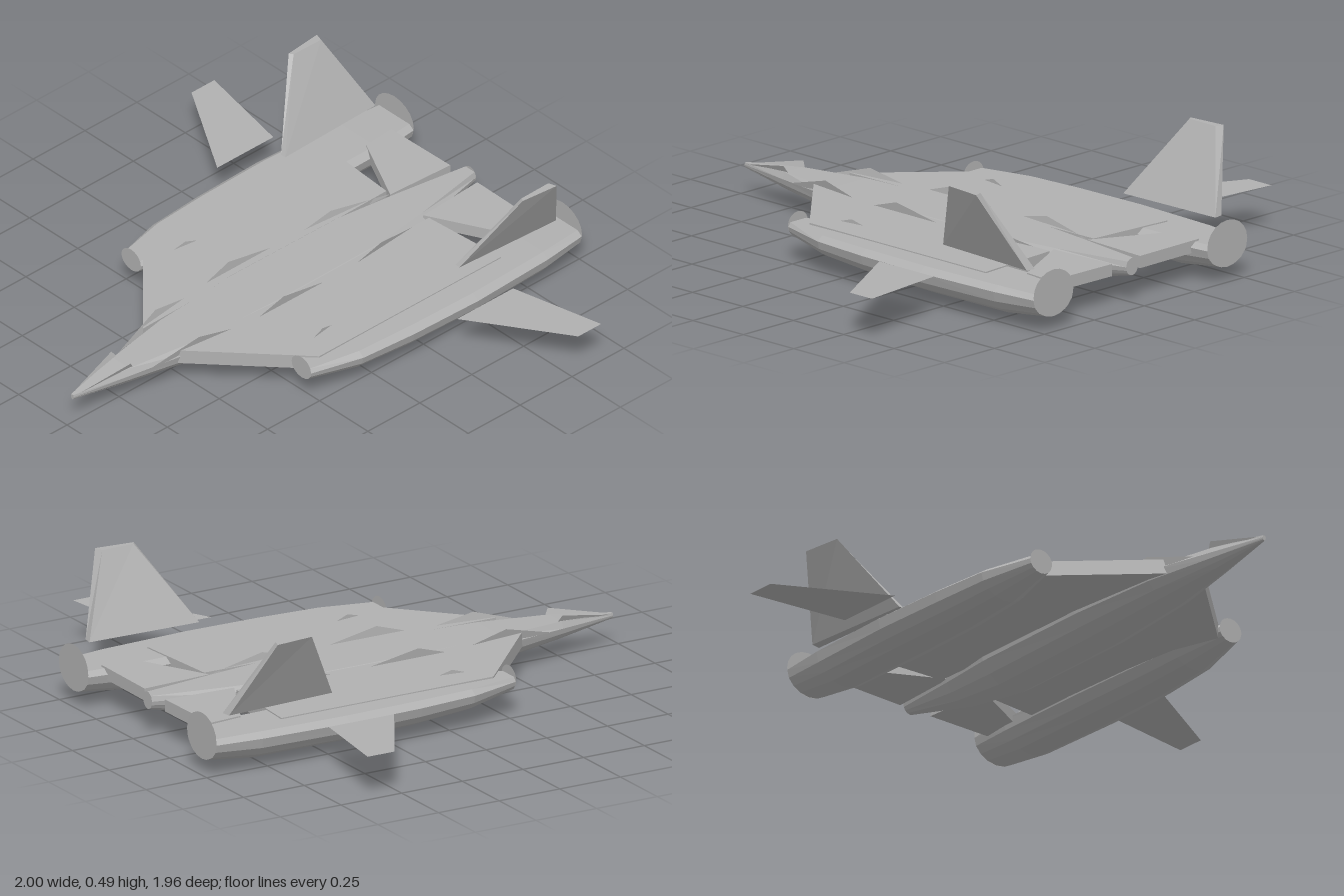
import * as THREE from 'three';

const grey = new THREE.MeshStandardMaterial({ color: 0xb0b0b0, side: THREE.DoubleSide });
grey.name = 'airframe grey';

// Faceted skin over rings of [x, y, z] points with closed ends; s = -1 mirrors it in x
function loft(name, rings, s = 1) {
  const r = rings.map((ring) => {
    const pts = ring.map(([x, y, z]) => [x * s, y, z]);
    return s < 0 ? pts.reverse() : pts;
  });
  const pos = [];
  const tri = (a, b, c) => pos.push(...a, ...b, ...c);
  const n = r[0].length;
  for (let i = 0; i < r.length - 1; i++) {
    for (let j = 0; j < n; j++) {
      const k = (j + 1) % n;
      tri(r[i][j], r[i + 1][j], r[i][k]);
      tri(r[i][k], r[i + 1][j], r[i + 1][k]);
    }
  }
  const last = r[r.length - 1];
  for (let j = 1; j < n - 1; j++) {
    tri(r[0][0], r[0][j], r[0][j + 1]);
    tri(last[0], last[j + 1], last[j]);
  }
  return build(name, pos);
}

// Flat sheet without thickness
function sheet(name, pts, s = 1) {
  const p = pts.map(([x, y, z]) => [x * s, y, z]);
  if (s < 0) p.reverse();
  const pos = [];
  for (let j = 1; j < p.length - 1; j++) pos.push(...p[0], ...p[j], ...p[j + 1]);
  return build(name, pos);
}

function build(name, pos) {
  const g = new THREE.BufferGeometry();
  g.setAttribute('position', new THREE.Float32BufferAttribute(pos, 3));
  g.computeVertexNormals();
  const m = new THREE.Mesh(g, grey);
  m.name = name;
  return m;
}

// Hull section: round belly below the widest line, bevelled flat deck above
function hullRing([z, cx, rx, mid, bottom, top]) {
  const ring = [];
  for (let i = 0; i <= 8; i++) {
    const a = Math.PI + (i / 8) * Math.PI;
    ring.push([cx + rx * Math.cos(a), mid + (mid - bottom) * Math.sin(a), z]);
  }
  ring.push([cx + rx * 0.78, top, z], [cx - rx * 0.78, top, z]);
  return ring;
}

// Slab from an [x, z] outline, counterclockwise seen from above
const slab = (name, outline, y0, y1, s) =>
  loft(name, [y1, y0].map((y) => outline.map(([x, z]) => [x, y, z])), s);

function disc(name, x, y, z, rx, ry) {
  const m = new THREE.Mesh(new THREE.CircleGeometry(1, 20), grey);
  m.name = name;
  m.position.set(x, y, z);
  m.scale.set(rx, ry, 1);
  if (z < 0) m.rotation.y = Math.PI;
  return m;
}

export function createModel() {
  const model = new THREE.Group();
  model.name = 'jet';

  // Fuselage: z, centre x, half width, widest y, bottom y, deck y
  model.add(loft('fuselage', [
    [0.975, 0, 0.007, 0.112, 0.1, 0.12],
    [0.74, 0, 0.056, 0.118, 0.065, 0.142],
    [0.47, 0, 0.112, 0.125, 0.035, 0.148],
    [0.1, 0, 0.14, 0.13, 0.01, 0.152],
    [-0.4, 0, 0.135, 0.13, 0, 0.152],
    [-0.64, 0, 0.095, 0.13, 0.03, 0.152],
    [-0.94, 0, 0.03, 0.135, 0.1, 0.155],
  ].map(hullRing)));
  model.add(disc('tailCap', 0, 0.135, -0.941, 0.03, 0.03));

  for (const s of [1, -1]) {
    // Engine nacelle with intake and exhaust plates
    model.add(loft('nacelle', [
      [0.28, 0.44, 0.05, 0.128, 0.085, 0.143],
      [0.08, 0.44, 0.105, 0.127, 0.05, 0.145],
      [-0.15, 0.44, 0.122, 0.126, 0.035, 0.146],
      [-0.45, 0.44, 0.13, 0.126, 0.03, 0.146],
      [-0.8, 0.435, 0.12, 0.126, 0.028, 0.145],
      [-0.98, 0.435, 0.1, 0.126, 0.05, 0.142],
    ].map(hullRing), s));
    model.add(disc('intakePlate', 0.44 * s, 0.132, 0.282, 0.05, 0.043));
    model.add(disc('exhaustPlate', 0.435 * s, 0.135, -0.981, 0.1, 0.086));

    // Inner wing and rear panel
    model.add(slab('innerWing',
      [[0.09, 0.55], [0.455, 0.21], [0.455, -0.665], [0.11, -0.64]], 0.095, 0.15, s));
    model.add(slab('rearPanel',
      [[0.085, -0.635], [0.36, -0.775], [0.37, -0.905], [0.07, -0.91]], 0.105, 0.15, s));

    // Outer wing
    model.add(sheet('outerWing',
      [[0.62, 0.148, -0.3], [1, 0.16, -0.53], [1, 0.16, -0.64], [0.62, 0.148, -0.57]], s));

    // Canted tail fin
    model.add(loft('tailFin', [
      [[0.59, 0.49, -0.64], [0.605, 0.49, -0.63], [0.62, 0.49, -0.78], [0.588, 0.49, -0.77]],
      [[0.44, 0.21, -0.46], [0.462, 0.21, -0.46], [0.487, 0.21, -0.9], [0.452, 0.21, -0.905]],
    ], s));

    // Raised triangular strakes along the deck
    for (const [x0, z0, x1, y1, z1, x2, z2] of [
      [0.012, 0.95, 0.05, 0.165, 0.74, 0.04, 0.72],
      [0.075, 0.68, 0.112, 0.18, 0.47, 0.13, 0.25],
      [0.135, 0.3, 0.142, 0.185, 0.09, 0.138, -0.19],
      [0.142, -0.13, 0.13, 0.176, -0.39, 0.1, -0.66],
      [0.375, 0.25, 0.355, 0.165, 0.1, 0.34, 0],
    ]) {
      model.add(sheet('deckStrake', [[x0, 0.12, z0], [x2, 0.135, z2], [x1, y1, z1]], s));
    }
  }
  return model;
}
